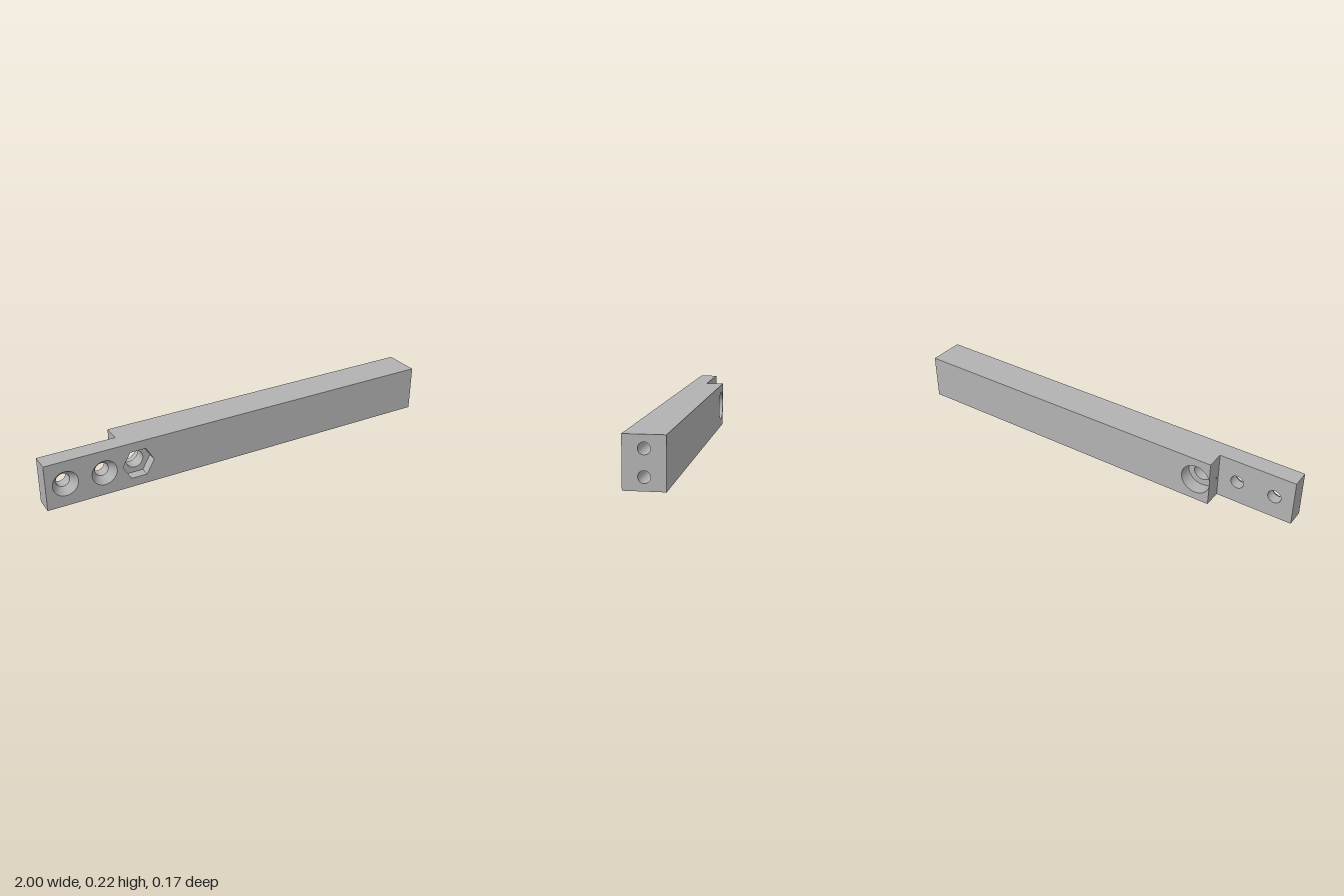
import * as THREE from 'three';

// Main sizes
const X0 = -1, X1 = 1, STEP = -0.63, H = 0.222, MID = H / 2, Z = 0.0875;
const SEG = 48;
const HEX = { x: -0.56, r: 0.077, floor: 0.04 };
const BORE = { r: 0.072, floor: -0.02, pin: 0.042 };
const SINK = { xs: [-0.908, -0.725], r: 0.06, pin: 0.032, neck: 0.052 };
const END = { ys: [0.056, 0.167], r: 0.025, depth: 0.25 };

// Closed outline of a circle or regular polygon
function ring(x, y, r, n = SEG) {
  return Array.from({ length: n }, (_, i) => {
    const a = (i / n) * Math.PI * 2;
    return new THREE.Vector2(x + r * Math.cos(a), y + r * Math.sin(a));
  });
}

function face(points, holes = []) {
  const shape = new THREE.Shape(points.map(p => (p.isVector2 ? p : new THREE.Vector2(...p))));
  for (const h of holes) shape.holes.push(new THREE.Path(h));
  return new THREE.ShapeGeometry(shape);
}

const rect = (x0, y0, x1, y1) => [[x0, y0], [x1, y0], [x1, y1], [x0, y1]];

// Inward-facing hole wall: profile of [radius, depth axis], one crisp band per segment
function bands(profile, sides = SEG) {
  const out = [];
  for (let i = 0; i + 1 < profile.length; i++) {
    const pts = [profile[i], profile[i + 1]].map(p => new THREE.Vector2(...p));
    out.push(new THREE.LatheGeometry(pts, sides, Math.PI / 2));
  }
  return out;
}

export function createModel() {
  const model = new THREE.Group();
  model.name = 'steppedBar';
  const grey = new THREE.MeshStandardMaterial({ color: 0xb2b2b2 });
  grey.name = 'grey';

  const add = (name, geo, parent = model) => {
    const mesh = new THREE.Mesh(geo, grey);
    mesh.name = name;
    parent.add(mesh);
    return mesh;
  };
  const addHole = (name, geos) => {
    const group = new THREE.Group();
    group.name = name;
    geos.forEach((g, i) => add(name + 'Wall' + (i + 1), g, group));
    model.add(group);
    return group;
  };

  // Front face with countersinks and hexagonal pocket
  add('frontFace', face(rect(X0, 0, X1, H), [
    ...SINK.xs.map(x => ring(x, MID, SINK.r)),
    ring(HEX.x, MID, HEX.r, 6),
  ]).translate(0, 0, Z));

  // Back faces of the thick bar and the thin tongue
  add('backFace', face(rect(-X1, 0, -STEP, H), [ring(-HEX.x, MID, BORE.r)])
    .rotateY(Math.PI).translate(0, 0, -Z));
  add('tongueBackFace', face(rect(-STEP, 0, -X0, H), SINK.xs.map(x => ring(-x, MID, SINK.pin)))
    .rotateY(Math.PI));

  // End faces and the step
  add('rightEnd', face(rect(-Z, 0, Z, H), END.ys.map(y => ring(0, y, END.r)))
    .rotateY(Math.PI / 2).translate(X1, 0, 0));
  add('tongueEnd', face(rect(0, 0, Z, H)).rotateY(-Math.PI / 2).translate(X0, 0, 0));
  add('stepFace', face(rect(-Z, 0, 0, H)).rotateY(-Math.PI / 2).translate(STEP, 0, 0));

  // L-shaped top and bottom
  const outline = s => [[X0, -Z * s], [X1, -Z * s], [X1, Z * s], [STEP, Z * s], [STEP, 0], [X0, 0]];
  add('topFace', face(outline(1)).rotateX(-Math.PI / 2).translate(0, H, 0));
  add('bottomFace', face(outline(-1)).rotateX(Math.PI / 2));

  // Countersunk screw holes through the tongue
  for (const x of SINK.xs) {
    const hole = addHole('countersunkHole', bands([[SINK.r, Z], [SINK.pin, SINK.neck], [SINK.pin, 0]]));
    hole.rotation.x = Math.PI / 2;
    hole.position.set(x, MID, 0);
  }

  // Nut pocket, bolt hole and rear counterbore
  const bolt = addHole('boltHole', [
    ...bands([[HEX.r, Z], [HEX.r, HEX.floor]], 6).map(g => {
      const flat = g.toNonIndexed();
      flat.computeVertexNormals();
      return flat;
    }),
    ...bands([[BORE.pin, HEX.floor], [BORE.pin, BORE.floor], [BORE.r, BORE.floor], [BORE.r, -Z]]),
  ]);
  bolt.rotation.x = Math.PI / 2;
  bolt.position.set(HEX.x, MID, 0);
  add('nutPocketFloor', face(ring(HEX.x, MID, HEX.r, 6), [ring(HEX.x, MID, BORE.pin)])
    .translate(0, 0, HEX.floor));

  // Blind holes in the right end
  for (const y of END.ys) {
    const hole = addHole('endHole', bands([[END.r, 0], [END.r, -END.depth], [0, -END.depth]]));
    hole.rotation.z = -Math.PI / 2;
    hole.position.set(X1, y, 0);
  }

  return model;
}
